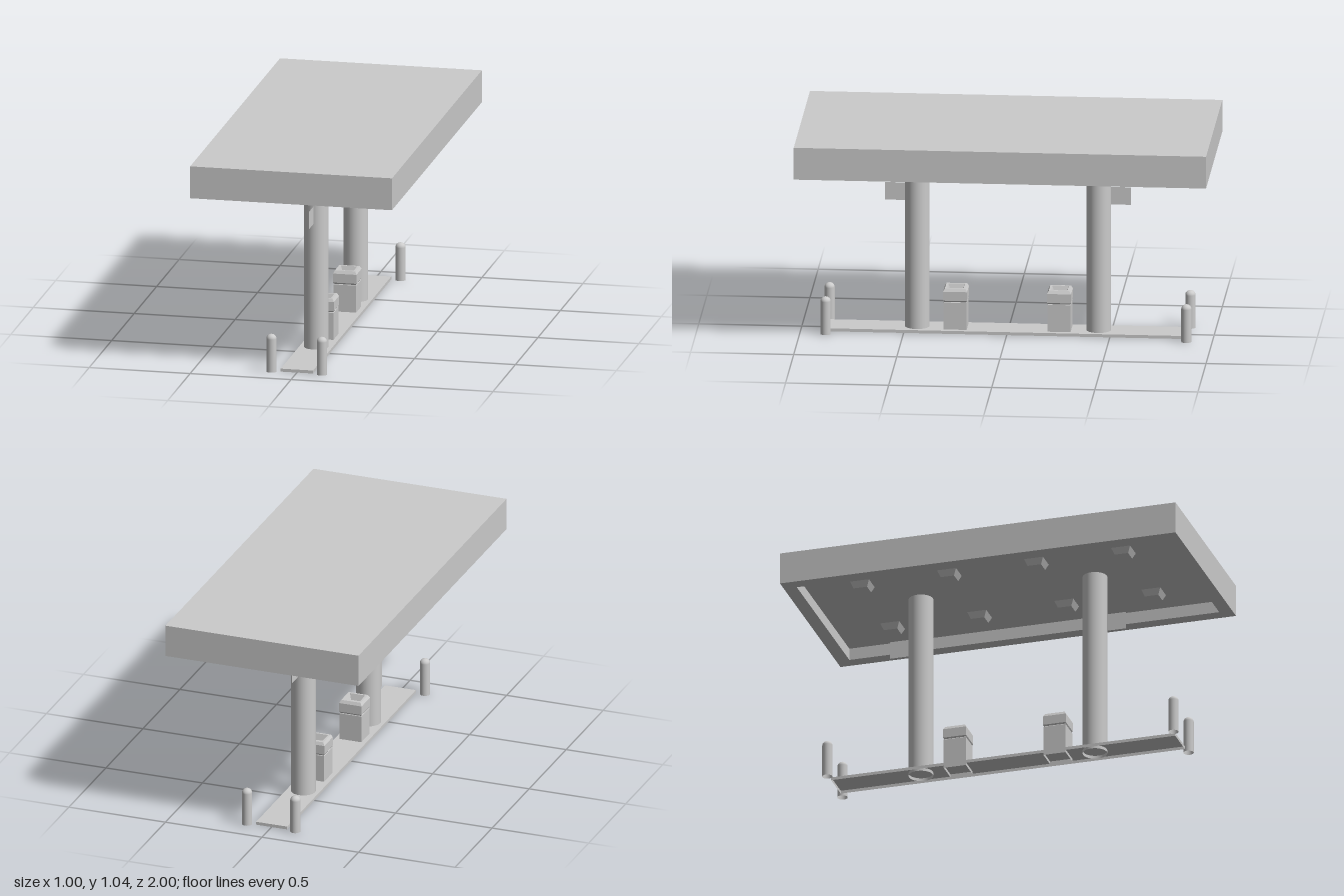
import * as THREE from 'three';

const smooth = new THREE.MeshStandardMaterial({ color: 0xcccccc, side: THREE.DoubleSide });
const flat = new THREE.MeshStandardMaterial({ color: 0xcccccc, side: THREE.DoubleSide, flatShading: true });

// Revolved profile of [radius, height] points
function lathe(points, segments) {
  return new THREE.LatheGeometry(points.map(([r, y]) => new THREE.Vector2(r, y)), segments);
}

// Square tower from [halfWidth, height] points
function squareLathe(points) {
  const scaled = points.map(([h, y]) => new THREE.Vector2(h * Math.SQRT2, y));
  return new THREE.LatheGeometry(scaled, 4, Math.PI / 4);
}

function rectangle(Type, halfX, halfY) {
  return new Type([[-1, -1], [1, -1], [1, 1], [-1, 1]].map(([x, y]) => new THREE.Vector2(x * halfX, y * halfY)));
}

export function createModel() {
  const model = new THREE.Group();
  const add = (name, geometry, material, x = 0, y = 0, z = 0) => {
    const mesh = new THREE.Mesh(geometry, material);
    mesh.name = name;
    mesh.position.set(x, y, z);
    model.add(mesh);
    return mesh;
  };

  // Canopy: solid slab with a hanging skirt around the recessed soffit
  const soffit = 0.94;
  add('canopyRoof', new THREE.BoxGeometry(1, 1.04 - soffit, 2), flat, 0, (1.04 + soffit) / 2, 0);
  const skirt = rectangle(THREE.Shape, 0.5, 1);
  skirt.holes.push(rectangle(THREE.Path, 0.435, 0.935));
  const skirtGeometry = new THREE.ExtrudeGeometry(skirt, { depth: soffit - 0.88, bevelEnabled: false });
  skirtGeometry.rotateX(-Math.PI / 2);
  add('canopySkirt', skirtGeometry, flat, 0, 0.88, 0);

  // Tapered lamps under the soffit
  const lamp = squareLathe([[0, -0.032], [0.034, -0.032], [0.048, 0]]);
  for (const x of [-0.25, 0.25]) {
    for (const z of [-0.66, -0.22, 0.22, 0.66]) add('ceilingLamp', lamp, flat, x, soffit, z);
  }

  // Island: shallow curb, open underneath
  const curb = new THREE.BoxGeometry(0.16, 0.015, 1.74);
  const faces = Array.from(curb.index.array);
  faces.splice(18, 6);
  curb.setIndex(faces);
  curb.clearGroups();
  add('island', curb, flat, 0, 0.0075, 0);

  const column = new THREE.CylinderGeometry(0.06, 0.06, soffit, 32, 1, true);
  const sign = new THREE.PlaneGeometry(0.097, 0.088).rotateY(Math.PI / 2);
  const bin = squareLathe([
    [0.056, 0], [0.056, 0.15], [0.054, 0.153], [0.058, 0.16], [0.058, 0.205],
    [0.05, 0.22], [0.04, 0.22], [0.03, 0.19], [0, 0.19],
  ]);
  const dome = [[0.025, 0], [0.025, 0.165]];
  for (let i = 1; i <= 6; i++) {
    const a = (i / 6) * Math.PI / 2;
    dome.push([0.025 * Math.cos(a), 0.165 + 0.023 * Math.sin(a)]);
  }
  const bollard = lathe(dome, 20);

  // Both ends of the island mirror each other
  for (const s of [-1, 1]) {
    add('column', column, smooth, 0, soffit / 2, s * 0.44);
    add('columnSign', sign, flat, 0, 0.69, s * 0.547);
    add('wasteBin', bin, flat, 0, 0, s * 0.252);
    for (const x of [-0.125, 0.125]) add('bollard', bollard, smooth, x, 0, s * 0.875);
  }
  return model;
}
